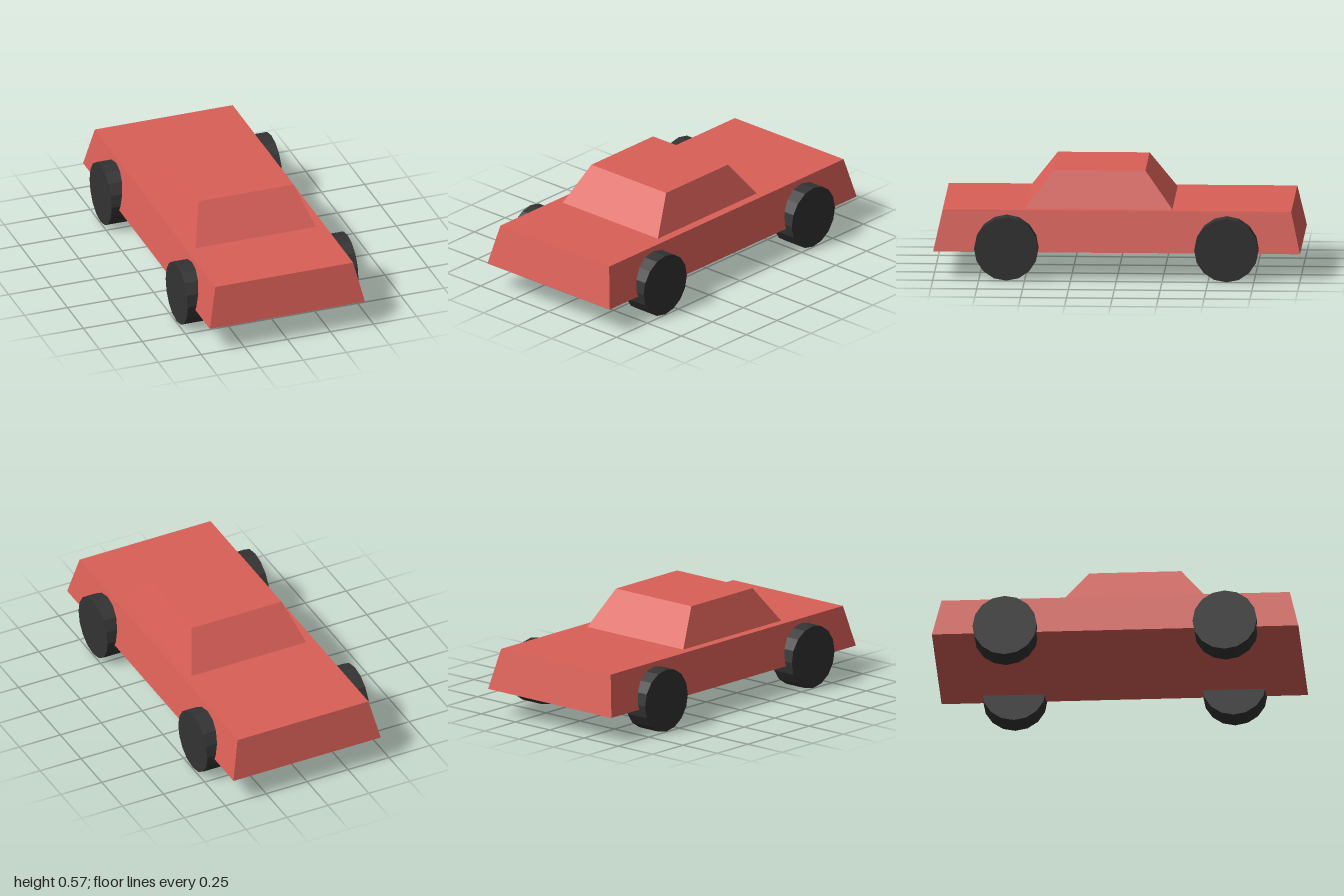
import * as THREE from 'three';

// Box whose top face is narrower than its bottom; each rectangle is { x: half width, z: [back, front] }
function taperedBox(bottom, top, y0, y1) {
  const geo = new THREE.BoxGeometry(1, 1, 1);
  const pos = geo.attributes.position;
  for (let i = 0; i < pos.count; i++) {
    const isTop = pos.getY(i) > 0;
    const rect = isTop ? top : bottom;
    pos.setXYZ(i, Math.sign(pos.getX(i)) * rect.x, isTop ? y1 : y0, rect.z[pos.getZ(i) > 0 ? 1 : 0]);
  }
  geo.computeVertexNormals();
  return geo;
}

export function createModel() {
  const car = new THREE.Group();
  car.name = 'car';

  const paint = new THREE.MeshStandardMaterial({ color: 0xd95f57, flatShading: true });
  paint.name = 'red paint';
  const rubber = new THREE.MeshStandardMaterial({ color: 0x333333, flatShading: true });
  rubber.name = 'dark rubber';

  const add = (name, geo, mat) => {
    const mesh = new THREE.Mesh(geo, mat);
    mesh.name = name;
    car.add(mesh);
    return mesh;
  };

  // Lower body and cabin
  add('body', taperedBox({ x: 0.45, z: [-1, 1] }, { x: 0.4, z: [-0.95, 0.95] }, 0.15, 0.375), paint);
  add('cabin', taperedBox({ x: 0.35, z: [-0.3, 0.5] }, { x: 0.275, z: [-0.15, 0.35] }, 0.375, 0.575), paint);

  // Four wheels with axles along x
  const wheelGeo = new THREE.CylinderGeometry(0.175, 0.175, 0.14, 16).rotateZ(Math.PI / 2);
  for (const [end, z] of [['front', 0.6], ['rear', -0.6]]) {
    for (const [side, x] of [['Left', 0.425], ['Right', -0.425]]) {
      add(`${end}${side}Wheel`, wheelGeo, rubber).position.set(x, 0.175, z);
    }
  }

  return car;
}
